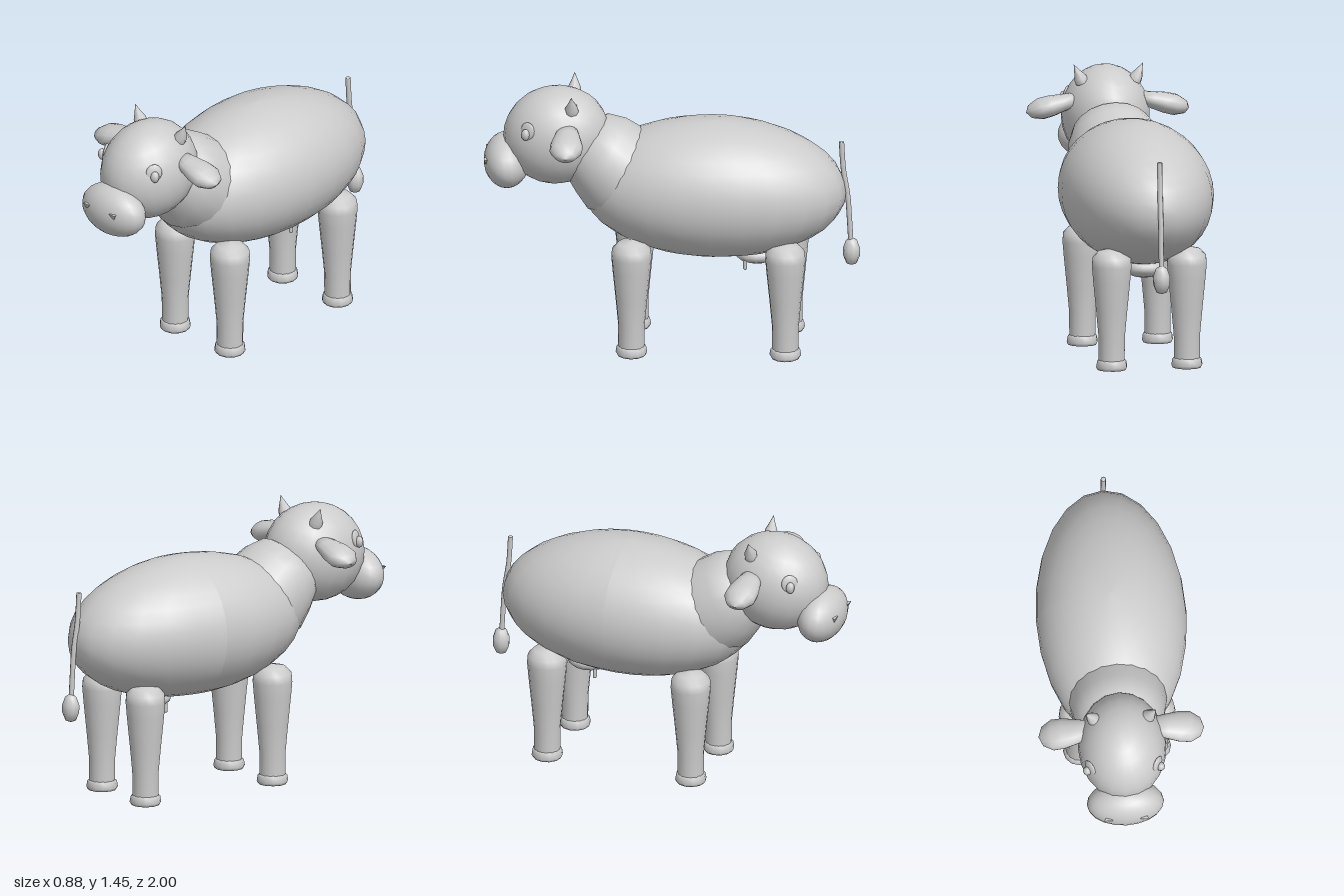
import * as THREE from 'three';

const grey = new THREE.MeshStandardMaterial({ color: 0xcccccc, side: THREE.DoubleSide });
grey.name = 'light grey';

// Adds a named mesh to a parent
function add(parent, name, geometry, x = 0, y = 0, z = 0) {
  const mesh = new THREE.Mesh(geometry, grey);
  mesh.name = name;
  mesh.position.set(x, y, z);
  parent.add(mesh);
  return mesh;
}

// Sphere stretched to three radii
function ellipsoid(rx, ry, rz, w = 20, h = 14) {
  return new THREE.SphereGeometry(1, w, h).scale(rx, ry, rz);
}

function lathe(points, segments = 14) {
  return new THREE.LatheGeometry(points.map(([r, y]) => new THREE.Vector2(r, y)), segments);
}

// Skin over tilted elliptical rings: [bottom z, bottom y, top z, top y, half width]
function loft(rings, n = 20) {
  const pos = [], index = [];
  rings.forEach(([bz, by, tz, ty, rx], i) => {
    for (let j = 0; j < n; j++) {
      const a = (j / n) * Math.PI * 2, s = Math.sin(a);
      pos.push(Math.cos(a) * rx, (by + ty) / 2 + s * (ty - by) / 2, (bz + tz) / 2 + s * (tz - bz) / 2);
      if (i === 0) continue;
      const k = (j + 1) % n, p = (i - 1) * n, q = i * n;
      index.push(p + j, p + k, q + k, p + j, q + k, q + j);
    }
  });
  const g = new THREE.BufferGeometry();
  g.setAttribute('position', new THREE.Float32BufferAttribute(pos, 3));
  g.setIndex(index);
  g.computeVertexNormals();
  return g;
}

export function createModel() {
  const cow = new THREE.Group();
  cow.name = 'cow';

  // Barrel body, dropping a little towards the rump
  const body = ellipsoid(0.4, 0.375, 0.705, 24, 18);
  const p = body.attributes.position;
  for (let i = 0; i < p.count; i++) p.setY(i, p.getY(i) + 0.035 * Math.min(0, p.getZ(i) + 0.1));
  body.computeVertexNormals();
  add(cow, 'body', body, -0.003, 0.892, -0.222);

  // Neck, open where it sinks into body and head
  add(cow, 'neck', loft([
    [0.25, 0.68, 0.05, 1.14, 0.25],
    [0.45, 0.77, 0.14, 1.19, 0.26],
    [0.51, 0.86, 0.24, 1.25, 0.245],
    [0.55, 0.93, 0.33, 1.275, 0.215],
    [0.57, 0.99, 0.4, 1.25, 0.17],
  ]));

  // Head and muzzle
  const head = new THREE.Group();
  head.name = 'head';
  cow.add(head);
  add(head, 'skull', ellipsoid(0.235, 0.265, 0.285), 0, 1.17, 0.612).rotation.x = 0.25;
  const muzzle = add(head, 'muzzle', ellipsoid(0.205, 0.142, 0.122), 0, 1.02, 0.877);
  muzzle.rotation.x = 0.1;

  const earShape = lathe([[0, -0.01], [0.035, 0], [0.045, 0.06], [0.055, 0.13], [0.056, 0.19], [0.035, 0.245], [0, 0.268]]);
  const hornShape = lathe([[0.036, -0.02], [0.034, 0.01], [0.016, 0.05], [0, 0.09]], 8);
  const nostrilShape = new THREE.ConeGeometry(0.028, 0.038, 3);

  for (const s of [1, -1]) {
    const side = s > 0 ? 'left' : 'right';

    const ear = add(head, side + 'Ear', earShape, s * 0.18, 1.262, 0.545);
    ear.rotation.z = -s * (Math.PI / 2 + 0.24);
    ear.scale.z = 1.55;

    const horn = add(head, side + 'Horn', hornShape, s * 0.148, 1.372, 0.525);
    horn.rotation.z = -s * 0.45;

    // Eye disc with a raised pupil
    const eye = add(head, side + 'Eye', ellipsoid(0.045, 0.05, 0.014, 10, 8), s * 0.178, 1.253, 0.758);
    eye.rotation.set(-0.25, s * 0.95, 0);
    const pupil = add(head, side + 'Pupil', ellipsoid(0.024, 0.032, 0.022, 8, 6), s * 0.196, 1.24, 0.768);
    pupil.rotation.y = s * 0.95;

    const nostril = add(head, side + 'Nostril', nostrilShape, s * 0.096, 1.04, 0.978);
    nostril.rotation.x = Math.PI;
  }

  // Legs with flared hooves
  const legShape = lathe([[0.07, 0.04], [0.071, 0.18], [0.084, 0.32], [0.1, 0.48], [0.107, 0.56],
    [0.103, 0.605], [0.07, 0.64], [0, 0.655]], 16);
  const hoofShape = lathe([[0, 0], [0.076, 0.003], [0.084, 0.018], [0.079, 0.048], [0.069, 0.057], [0, 0.058]], 12);
  for (const [end, z] of [['front', 0.205], ['back', -0.612]]) {
    for (const s of [1, -1]) {
      const name = end + (s > 0 ? 'Left' : 'Right');
      add(cow, name + 'Leg', legShape, s * 0.203, 0, z);
      add(cow, name + 'Hoof', hoofShape, s * 0.203, 0, z);
    }
  }

  // Udder and teats
  add(cow, 'udder', ellipsoid(0.11, 0.055, 0.12, 14, 10), 0, 0.522, -0.45);
  for (const s of [1, -1]) {
    add(cow, s > 0 ? 'leftTeat' : 'rightTeat', new THREE.CapsuleGeometry(0.011, 0.06, 3, 8), s * 0.072, 0.485, -0.392);
  }

  // Tail and tuft
  const tailPath = new THREE.CatmullRomCurve3([
    [1.155, -0.9], [1.0, -0.91], [0.85, -0.933], [0.72, -0.942], [0.58, -0.95],
  ].map(([y, z]) => new THREE.Vector3(0, y, z)));
  add(cow, 'tail', new THREE.TubeGeometry(tailPath, 14, 0.014, 8));
  add(cow, 'tailTop', ellipsoid(0.014, 0.006, 0.014, 8, 6), 0, 1.154, -0.9);
  add(cow, 'tailTuft', lathe([[0, 0.458], [0.028, 0.468], [0.045, 0.51], [0.046, 0.55], [0.03, 0.595], [0, 0.615]], 10), 0, 0, -0.953);

  return cow;
}
